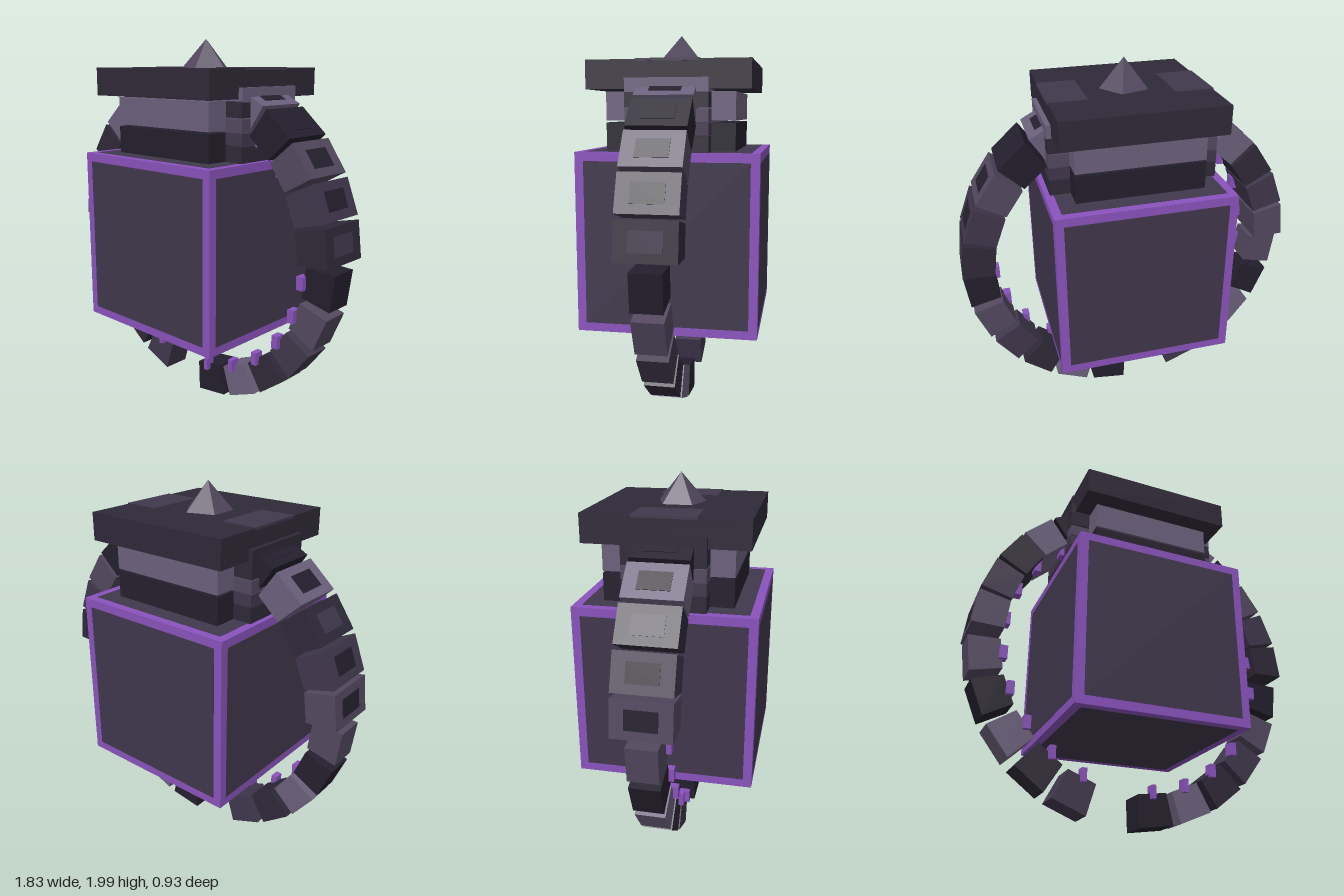
import * as THREE from 'three';

const PURPLE = 0x8a52bc, BLACK = 0x241f2d, DARK = 0x2f2938, MID = 0x40374c, SOFT = 0x53485f, LIGHT = 0x6b607c;

function add(parent, name, geometry, color, x = 0, y = 0, z = 0) {
  const mesh = new THREE.Mesh(geometry, new THREE.MeshStandardMaterial({ color, flatShading: true }));
  mesh.name = name;
  mesh.position.set(x, y, z);
  parent.add(mesh);
  return mesh;
}

// Box given by its half sizes in x and z and its bottom and top heights
function slab(parent, name, color, hx, hz, y0, y1, x = 0) {
  return add(parent, name, new THREE.BoxGeometry(hx * 2, y1 - y0, hz * 2), color, x, (y0 + y1) / 2, 0);
}

// Tapered ring stone, pointing outwards along -y
function stoneGeometry(halfDepth) {
  const shape = new THREE.Shape([
    [-0.08, -0.74], [-0.096, -0.908], [0.096, -0.908], [0.08, -0.74],
  ].map(([x, y]) => new THREE.Vector2(x, y)));
  const geometry = new THREE.ExtrudeGeometry(shape, { depth: halfDepth * 2, bevelEnabled: false });
  return geometry.translate(0, 0, -halfDepth);
}

export function createModel() {
  const model = new THREE.Group();
  model.name = 'ringedCube';

  // Cube frame with a dark panel on every face
  slab(model, 'cubeFrame', PURPLE, 0.465, 0.465, 0.465, 1.395);
  const panels = new THREE.Group();
  panels.name = 'cubePanels';
  model.add(panels);
  const half = 0.42, proud = 0.4665;
  for (const axis of [0, 1, 2]) {
    const h = [half, half, half];
    h[axis] = proud;
    slab(panels, 'cubePanel', MID, h[0], h[2], 0.93 - h[1], 0.93 + h[1]);
  }

  // Stepped neck
  slab(model, 'lowerTier', BLACK, 0.333, 0.333, 1.39, 1.54);
  slab(model, 'upperTier', LIGHT, 0.333, 0.333, 1.55, 1.695);

  // Layered brackets on both sides of the neck
  const layers = [[1.39, 1.475, DARK], [1.48, 1.54, MID], [1.545, 1.61, SOFT], [1.615, 1.695, DARK]];
  for (const [y0, y1, color] of layers) slab(model, 'bracketLayer', color, 0.438, 0.21, y0, y1);
  for (const side of [-1, 1]) {
    slab(model, 'bracketCap', side > 0 ? LIGHT : DARK, 0.11, 0.21, 1.69, 1.76, side * 0.33);
  }

  // Cap slab, its two pads and the spike
  slab(model, 'capSlab', DARK, 0.415, 0.415, 1.705, 1.85);
  for (const side of [-1, 1]) slab(model, 'capPad', MID, 0.1, 0.16, 1.84, 1.854, side * 0.32);
  const spike = add(model, 'spike', new THREE.ConeGeometry(0.13, 0.15, 5), SOFT, 0, 1.925, 0);
  spike.rotation.y = Math.PI / 2;

  // Ring of stones, narrow below and wide above, with one stone missing at the bottom
  const ring = new THREE.Group();
  ring.name = 'stoneRing';
  ring.position.y = 0.92;
  model.add(ring);
  const narrow = stoneGeometry(0.078), wide = stoneGeometry(0.148);
  const inset = new THREE.BoxGeometry(0.1, 0.02, 0.16);
  const colors = {
    1: [BLACK, LIGHT, DARK, MID, SOFT, BLACK, DARK, MID, SOFT, BLACK, LIGHT],
    '-1': [null, MID, DARK, LIGHT, BLACK, SOFT, SOFT, MID, DARK, LIGHT, BLACK],
  };
  for (const side of [1, -1]) {
    colors[side].forEach((color, i) => {
      if (color === null) return;
      const degrees = i < 6 ? 7.5 + 15 * i : 97.3 + 13.6 * (i - 6);
      const stone = new THREE.Group();
      stone.name = 'ringStone';
      stone.rotation.z = side * THREE.MathUtils.degToRad(degrees);
      ring.add(stone);
      add(stone, 'stoneBlock', i < 6 ? narrow : wide, color);
      if (i >= 6) add(stone, 'stoneInset', inset, color === DARK ? MID : BLACK, 0, -0.901, 0);

      // Upright purple tab on the inner face
      if (i > 9) return;
      const a = THREE.MathUtils.degToRad(7.5 + 15 * i);
      const tab = new THREE.BoxGeometry(0.02 + 0.02 * Math.sin(a), 0.07, 0.055);
      add(ring, 'ringTab', tab, PURPLE, side * 0.735 * Math.sin(a), -0.735 * Math.cos(a), 0.0775);
    });
  }
  return model;
}
